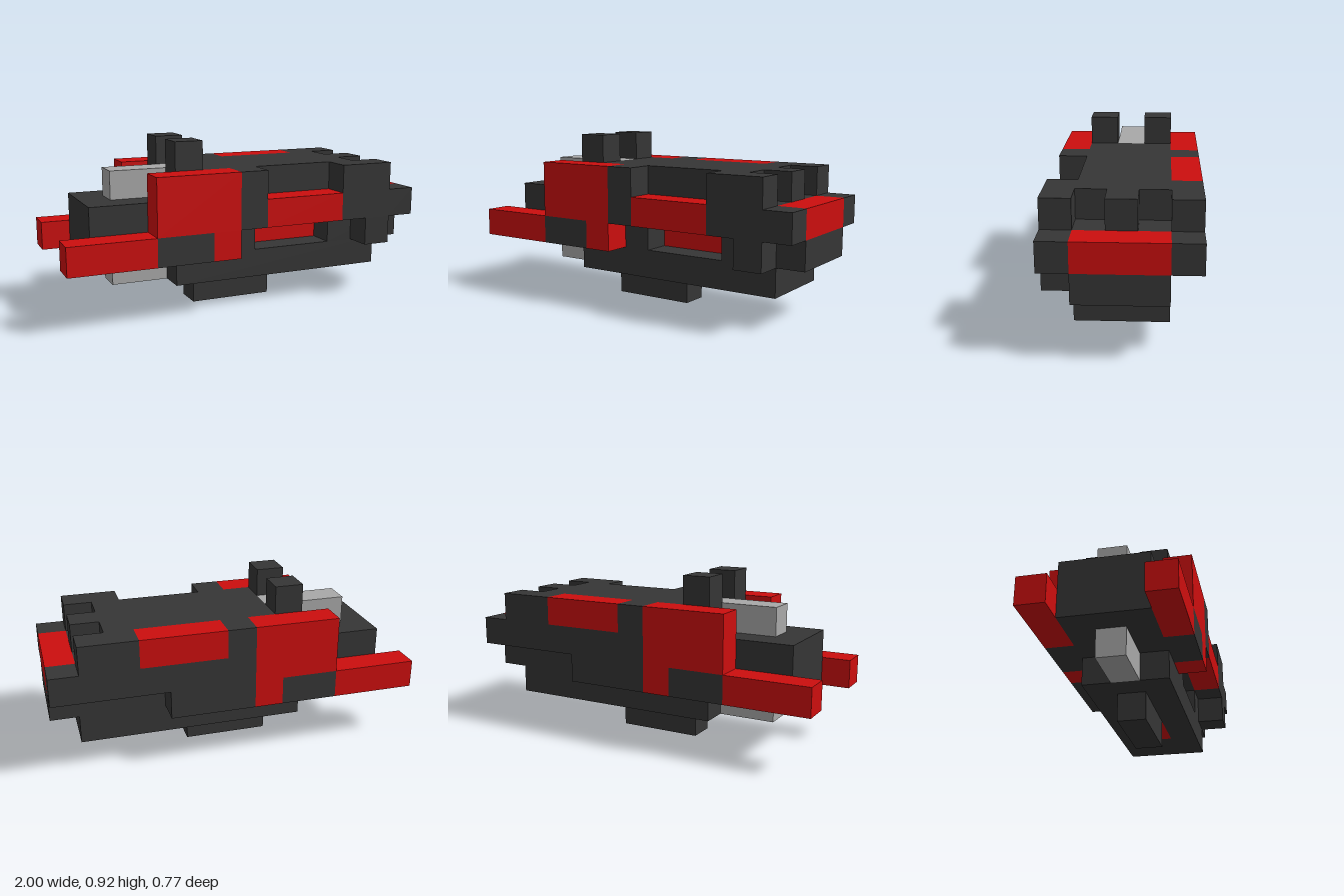
import * as THREE from 'three';

const U = 2 / 13; // one block; the model is 13 long, 6 high, 5 deep

export function createModel() {
  const model = new THREE.Group();
  model.name = 'blockShip';

  const mat = (name, color) => {
    const m = new THREE.MeshStandardMaterial({ color });
    m.name = name;
    return m;
  };
  const dark = mat('charcoal', 0x353535);
  const red = mat('red', 0xcc0e0e);
  const grey = mat('lightGrey', 0xa8a8a8);

  // Box spanning whole blocks: [first, last] block index along each axis
  const block = (name, material, [x0, x1], [y0, y1], [z0, z1]) => {
    const g = new THREE.BoxGeometry((x1 - x0 + 1) * U, (y1 - y0 + 1) * U, (z1 - z0 + 1) * U);
    const mesh = new THREE.Mesh(g, material);
    mesh.position.set(((x0 + x1 + 1) / 2 - 6.5) * U, ((y0 + y1 + 1) / 2) * U, ((z0 + z1 + 1) / 2 - 2.5) * U);
    mesh.name = name;
    model.add(mesh);
  };

  // Hull, from the keel up
  block('keel', dark, [5, 7], [0, 0], [2, 2]);
  block('bellyRearSide', dark, [4, 11], [1, 1], [1, 1]);
  block('bellyFrontSide', dark, [4, 11], [1, 1], [3, 3]);
  block('bellyMiddle', dark, [4, 6], [1, 1], [2, 2]);
  block('bellyEnd', dark, [10, 11], [1, 1], [2, 2]);
  block('lowerHullRearSide', dark, [1, 12], [2, 2], [1, 1]);
  block('lowerHullNose', dark, [1, 6], [2, 2], [2, 3]);
  block('lowerHullEnd', dark, [10, 12], [2, 2], [2, 3]);
  block('upperHull', dark, [1, 11], [3, 3], [1, 3]);
  block('deckMiddle', dark, [5, 11], [4, 4], [2, 2]);
  block('core', red, [7, 9], [1, 2], [2, 2]);
  block('endLight', red, [12, 12], [3, 3], [1, 3]);

  // Grey barrels above and below the nose
  block('upperBarrel', grey, [2, 4], [4, 4], [2, 2]);
  block('lowerBarrel', grey, [2, 3], [1, 1], [2, 2]);

  // Parts shared by both sides
  for (const [side, inner, outer] of [['rear', 1, 0], ['front', 3, 4]]) {
    const zi = [inner, inner], zo = [outer, outer];
    block(side + 'Deck', dark, [4, 10], [4, 4], zi);
    block(side + 'Fin', dark, [4, 4], [5, 5], zi);
    block(side + 'Prong', red, [0, 2], [2, 2], zo);
    block(side + 'Shoulder', red, [3, 5], [3, 4], zo);
    block(side + 'ShoulderLeg', red, [5, 5], [2, 2], zo);
    block(side + 'ShoulderInset', dark, [3, 4], [2, 2], zo);
    block(side + 'Rib', dark, [6, 6], [3, 4], zo);
    block(side + 'Haunch', dark, [10, 11], [3, 4], zo);
    block(side + 'TailTip', dark, [12, 12], [3, 3], zo);
  }

  // Parts that differ between the sides
  block('rearStripe', red, [7, 9], [4, 4], [0, 0]);
  block('rearPanel', dark, [7, 9], [3, 3], [0, 0]);
  block('rearSkirt', dark, [6, 8], [2, 2], [0, 0]);
  block('frontStripe', red, [7, 9], [3, 3], [4, 4]);
  block('frontFoot', dark, [11, 11], [2, 2], [4, 4]);

  return model;
}
